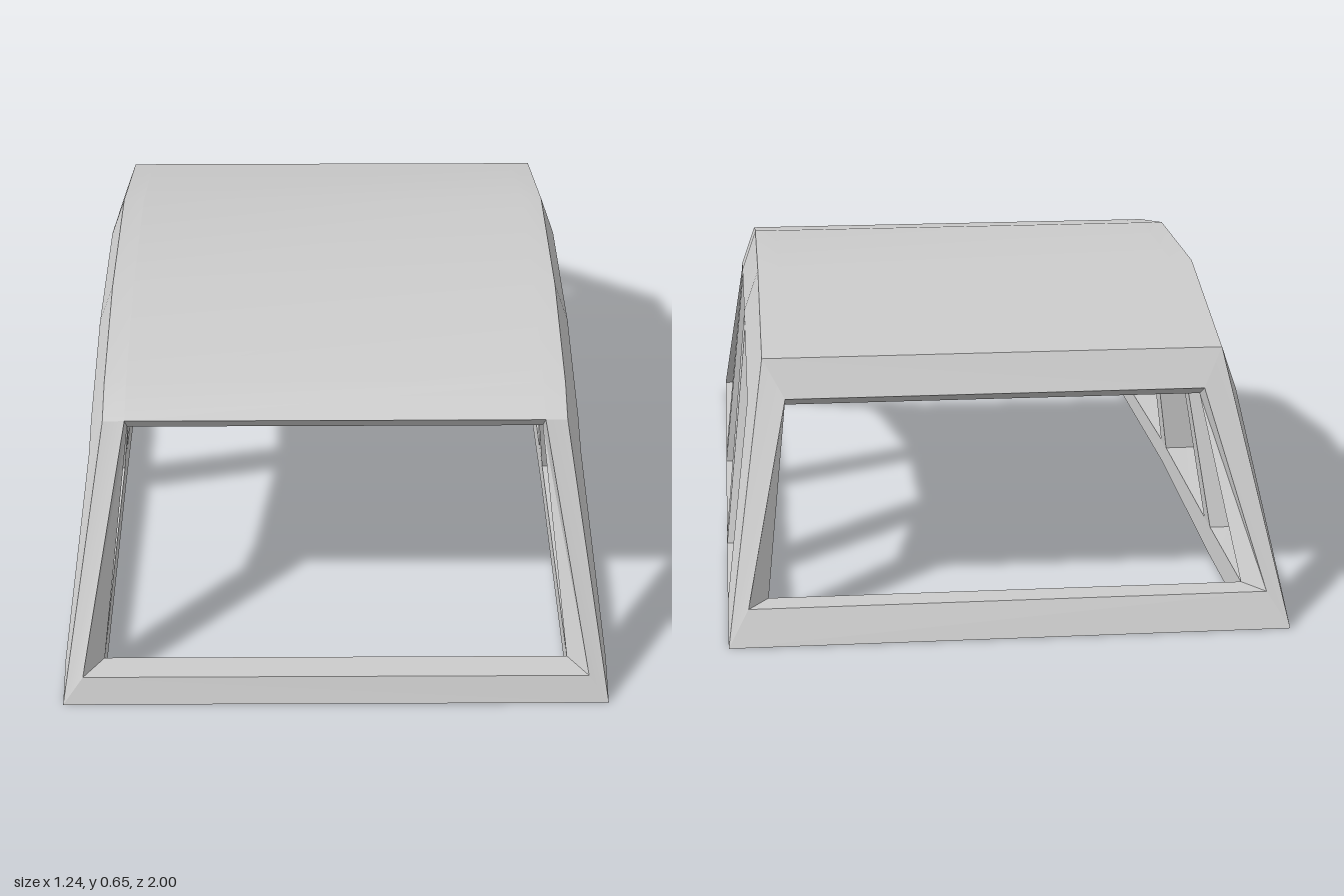
import * as THREE from 'three';
import { toCreasedNormals } from 'three/addons/utils/BufferGeometryUtils.js';

const material = new THREE.MeshStandardMaterial({ color: 0xcccccc });

// Lofts a closed, capped solid through four-cornered sections.
function loft(name, sections) {
  const v = (p) => new THREE.Vector3(...p);
  const tris = [];
  const quad = (a, b, c, d) => tris.push([a, b, c], [a, c, d]);
  for (let s = 0; s < sections.length - 1; s++) {
    const p = sections[s], q = sections[s + 1];
    for (let i = 0; i < 4; i++) {
      const j = (i + 1) % 4;
      quad(p[i], p[j], q[j], q[i]);
    }
  }
  const first = sections[0], last = sections[sections.length - 1];
  quad(first[3], first[2], first[1], first[0]);
  quad(...last);

  // Signed volume tells whether the faces point outwards.
  let volume = 0;
  for (const [a, b, c] of tris) volume += v(a).dot(v(b).cross(v(c)));
  const points = tris.flatMap(([a, b, c]) => (volume < 0 ? [a, c, b] : [a, b, c])).map(v);
  const geometry = toCreasedNormals(new THREE.BufferGeometry().setFromPoints(points), 0.5);
  const mesh = new THREE.Mesh(geometry, material);
  mesh.name = name;
  return mesh;
}

const flip = (section) => section.map(([x, y, z]) => [-x, y, z]);

export function createModel() {
  const group = new THREE.Group();
  group.name = 'cabinFrame';

  const both = (name, sections) => {
    group.add(loft('left' + name, sections));
    group.add(loft('right' + name, sections.map(flip)));
  };
  const across = (name, section) => group.add(loft(name, [section, flip(section)]));

  // Corner nodes: e outer edge, f end-opening edge, s side-window edge,
  // i inner edge, b bottom inner edge
  const frontLow = {
    e: [0.62, 0, 1], f: [0.575, 0.055, 0.97], s: [0.62, 0.05, 0.9],
    i: [0.53, 0.055, 0.9], b: [0.53, 0.005, 0.9],
  };
  const frontTop = {
    e: [0.53, 0.54, 0.65], f: [0.48, 0.54, 0.65], s: [0.565, 0.45, 0.65], i: [0.48, 0.485, 0.59],
  };
  const rearLow = {
    e: [0.62, 0, -1], f: [0.575, 0.07, -0.95], s: [0.62, 0.065, -0.885],
    i: [0.53, 0.07, -0.885], b: [0.53, 0, -0.885],
  };
  const rearTop = {
    e: [0.53, 0.54, -0.6], f: [0.48, 0.46, -0.66], s: [0.565, 0.44, -0.6], i: [0.48, 0.43, -0.6],
  };

  // Roof panel and its sloping side rails
  const rail = [[frontTop.s, frontTop.e, frontTop.f, frontTop.i]];
  for (const [z, y] of [[0.56, 0.585], [0.23, 0.65], [-0.2, 0.65], [-0.6, 0.54]]) {
    rail.push([[0.565, y - 0.1, z], [0.53, y, z], [0.48, y, z], [0.48, y - 0.1, z]]);
  }
  both('RoofRail', rail);
  group.add(loft('roofPanel', rail.map(([, , top, under]) =>
    [top, under, ...flip([under, top])])));

  // Cross members
  across('rearHeader', [rearTop.e, rearTop.f, rearTop.i, [0.48, 0.53, -0.57]]);
  across('frontSill', [frontLow.e, frontLow.f, frontLow.i, frontLow.b]);
  across('rearSill', [rearLow.e, rearLow.f, rearLow.i, rearLow.b]);

  // Corner pillars
  const ends = ({ e, f, i, s }) => [e, f, i, s];
  both('FrontPillar', [ends(frontLow), ends(frontTop)]);
  both('RearPillar', [ends(rearLow), ends(rearTop)]);

  // Side sills
  const sill = [[0.15, 0.02, 0.075], [-0.5, 0, 0.07]].map(([z, low, high]) =>
    [[0.62, low, z], [0.62, high, z], [0.53, high, z], [0.53, low, z]]);
  const sillEnd = ({ e, s, i, b }) => [e, s, i, b];
  both('SideSill', [sillEnd(frontLow), ...sill, sillEnd(rearLow)]);

  // Slanted middle pillars: [z, y] of the front and rear edges at each end
  const pillar = (name, low, high) => both(name, [[low, 0.62, 0.53], [high, 0.565, 0.48]].map(
    ([[[z1, y1], [z2, y2]], outer, inner]) =>
      [[outer, y1, z1], [outer, y2, z2], [inner, y2, z2], [inner, y1, z1]]));
  pillar('MiddlePillar', [[0.165, 0.073], [0.09, 0.073]], [[0.24, 0.55], [0.165, 0.55]]);
  pillar('DoorPillar', [[-0.445, 0.07], [-0.52, 0.069]], [[-0.2, 0.55], [-0.285, 0.528]]);

  return group;
}
